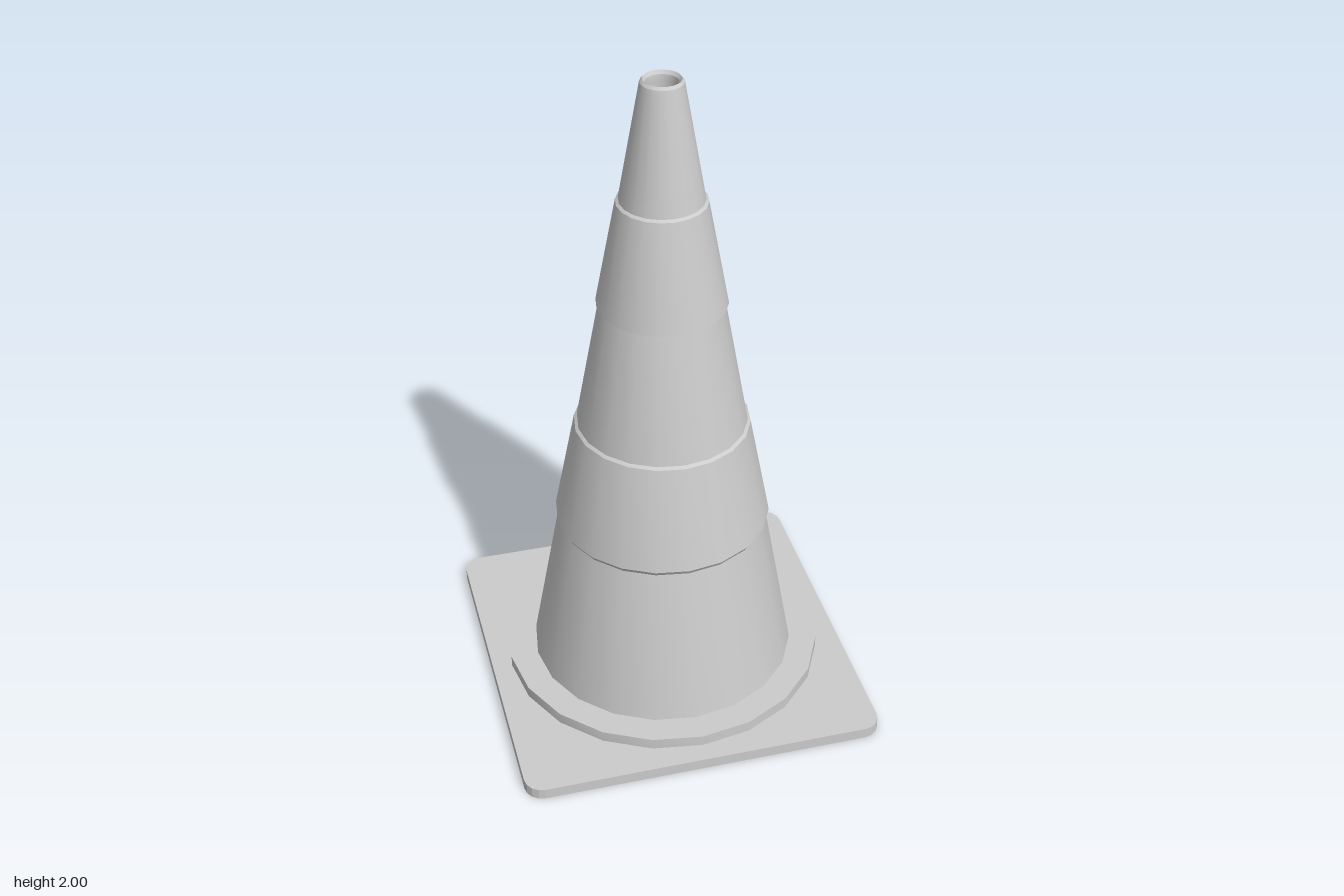
import * as THREE from 'three';
import { toCreasedNormals } from 'three/addons/utils/BufferGeometryUtils.js';

const SIDES = 20;

export function createModel() {
  const group = new THREE.Group();
  const material = new THREE.MeshStandardMaterial({ color: 0xcccccc });

  const add = (name, geometry) => {
    const mesh = new THREE.Mesh(geometry, material);
    mesh.name = name;
    group.add(mesh);
  };
  // Smooth around the axis, sharp at the steps of the profile
  const lathe = (points) => toCreasedNormals(
    new THREE.LatheGeometry(points.map(([r, y]) => new THREE.Vector2(r, y)), SIDES), 0.5);

  // Square base plate with rounded corners
  const half = 0.55, corner = 0.055, c = half - corner;
  const outline = new THREE.Shape();
  [[c, c], [-c, c], [-c, -c], [c, -c]].forEach(([x, y], i) => {
    outline.absarc(x, y, corner, i * Math.PI / 2, (i + 1) * Math.PI / 2, false);
  });
  const plate = new THREE.ExtrudeGeometry(outline, { depth: 0.035, bevelEnabled: false, curveSegments: 2 });
  plate.rotateX(-Math.PI / 2);
  add('basePlate', plate);

  // Low collar between the plate and the cone
  add('baseCollar', lathe([[0.49, 0.035], [0.49, 0.07], [0.36, 0.07]]));

  // Hollow cone with two raised sleeves and a rounded open tip
  add('coneBody', lathe([
    [0.405, 0.07], [0.316, 0.565],
    [0.325, 0.58], [0.262, 0.905],   // lower sleeve
    [0.253, 0.912], [0.182, 1.308],
    [0.19, 1.312], [0.13, 1.636],    // upper sleeve
    [0.122, 1.642], [0.064, 1.975],
    [0.061, 1.992], [0.054, 2.0],    // rim
    [0.047, 1.99], [0.045, 1.97],
    [0.385, 0.07],                   // inner wall
  ]));

  // Floor inside the cone
  add('innerFloor', new THREE.CylinderGeometry(0.37, 0.37, 0.03, SIDES).translate(0, 0.05, 0));

  return group;
}
